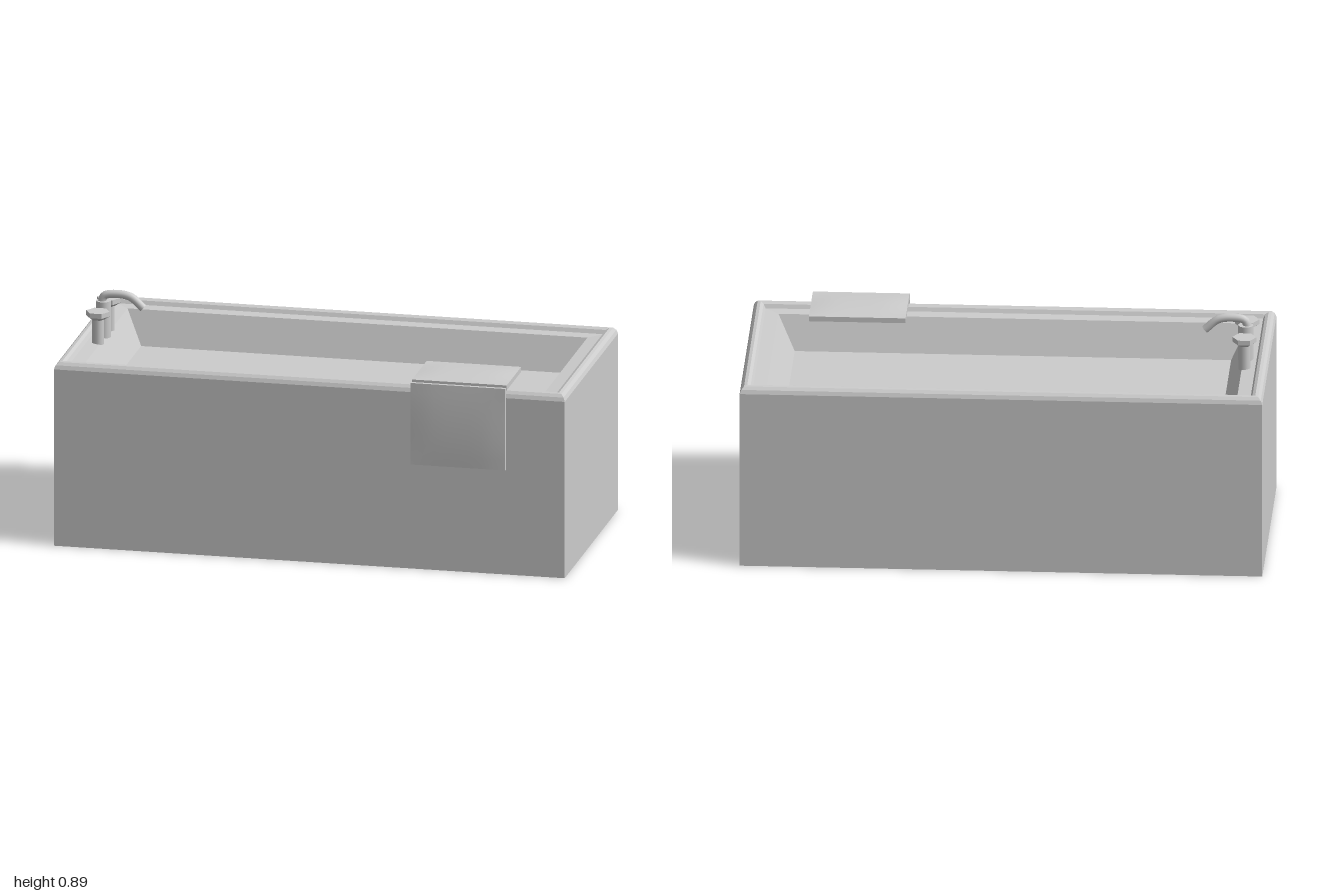
import * as THREE from 'three';

const grey = new THREE.MeshStandardMaterial({ color: 0xcccccc });
grey.name = 'plain grey';

function addMesh(parent, name, geometry) {
  const mesh = new THREE.Mesh(geometry, grey);
  mesh.name = name;
  parent.add(mesh);
  return mesh;
}

// Shell through nested rectangles [x inset, z inset, y], capped at both ends
function rectLoft(steps, x0, x1, z0, z1) {
  const rings = steps.map(([dx, dz, y]) => [
    [x0 + dx, y, z1 - dz], [x1 - dx, y, z1 - dz],
    [x1 - dx, y, z0 + dz], [x0 + dx, y, z0 + dz],
  ]);
  const pos = [];
  const quad = (a, b, c, d) => pos.push(...a, ...b, ...c, ...a, ...c, ...d);
  const first = rings[0], last = rings[rings.length - 1];
  quad(first[3], first[2], first[1], first[0]);
  for (let r = 0; r < rings.length - 1; r++) {
    for (let i = 0; i < 4; i++) {
      const j = (i + 1) % 4;
      quad(rings[r][i], rings[r][j], rings[r + 1][j], rings[r + 1][i]);
    }
  }
  quad(...last);
  const g = new THREE.BufferGeometry();
  g.setAttribute('position', new THREE.Float32BufferAttribute(pos, 3));
  g.computeVertexNormals();
  return g;
}

// Thin slab, slightly thicker in the middle than at its edges
function padGeometry(width, thick, depth) {
  const g = new THREE.BoxGeometry(width, thick, depth, 8, 1, 8);
  const p = g.attributes.position;
  for (let i = 0; i < p.count; i++) {
    const u = 2 * p.getX(i) / width, v = 2 * p.getZ(i) / depth;
    const bulge = 0.55 + 0.45 * (1 - u ** 4) * (1 - v * v);
    p.setY(i, p.getY(i) * bulge);
  }
  g.computeVertexNormals();
  return g;
}

export function createModel() {
  const model = new THREE.Group();
  model.name = 'bathtub';

  // Tub: recessed underside, outer walls, rounded rim, ledge and basin
  addMesh(model, 'tub', rectLoft([
    [0.055, 0.055, 0.055], [0.055, 0.055, 0], [0, 0, 0], [0, 0, 0.703],
    [0.006, 0.006, 0.718], [0.016, 0.016, 0.729], [0.028, 0.028, 0.731],
    [0.04, 0.04, 0.725], [0.048, 0.048, 0.71], [0.1, 0.093, 0.706],
    [0.165, 0.145, 0.575],
  ], -1, 1, -0.49, 0.45));

  // Taps: stem with flared six-sided knob
  for (const z of [0.077, -0.112]) {
    const tap = new THREE.Group();
    tap.name = 'tap';
    tap.position.set(-0.91, 0, z);
    tap.rotation.y = Math.PI / 6;
    addMesh(tap, 'tapStem', new THREE.CylinderGeometry(0.023, 0.023, 0.1, 12)).position.y = 0.753;
    const profile = [[0, 0.8], [0.024, 0.8], [0.046, 0.814], [0.046, 0.833], [0, 0.833]]
      .map(([r, y]) => new THREE.Vector2(r, y));
    const knob = new THREE.LatheGeometry(profile, 6).toNonIndexed();
    knob.computeVertexNormals();
    addMesh(tap, 'tapKnob', knob);
    model.add(tap);
  }

  // Spout: upright body with a curved outlet
  const spout = new THREE.Group();
  spout.name = 'spout';
  spout.position.z = -0.02;
  addMesh(spout, 'spoutBody', new THREE.CylinderGeometry(0.029, 0.029, 0.144, 16)).position.set(-0.91, 0.775, 0);
  const path = new THREE.CatmullRomCurve3([
    [-0.918, 0.835], [-0.906, 0.867], [-0.86, 0.876], [-0.805, 0.868], [-0.754, 0.826],
  ].map(([x, y]) => new THREE.Vector3(x, y, 0)));
  addMesh(spout, 'spoutOutlet', new THREE.TubeGeometry(path, 20, 0.016, 12));
  const end = addMesh(spout, 'spoutEnd', new THREE.CircleGeometry(0.016, 12));
  end.position.copy(path.getPoint(1));
  end.lookAt(path.getPoint(1).add(path.getTangent(1)));
  model.add(spout);

  // Towel: one slab on the rim, one hanging over the front
  const towel = new THREE.Group();
  towel.name = 'towel';
  addMesh(towel, 'towelTop', padGeometry(0.37, 0.036, 0.255)).position.set(0.59, 0.747, 0.333);
  const hang = addMesh(towel, 'towelHanging', padGeometry(0.37, 0.025, 0.325));
  hang.rotation.x = Math.PI / 2;
  hang.position.set(0.59, 0.588, 0.479);
  model.add(towel);

  return model;
}
